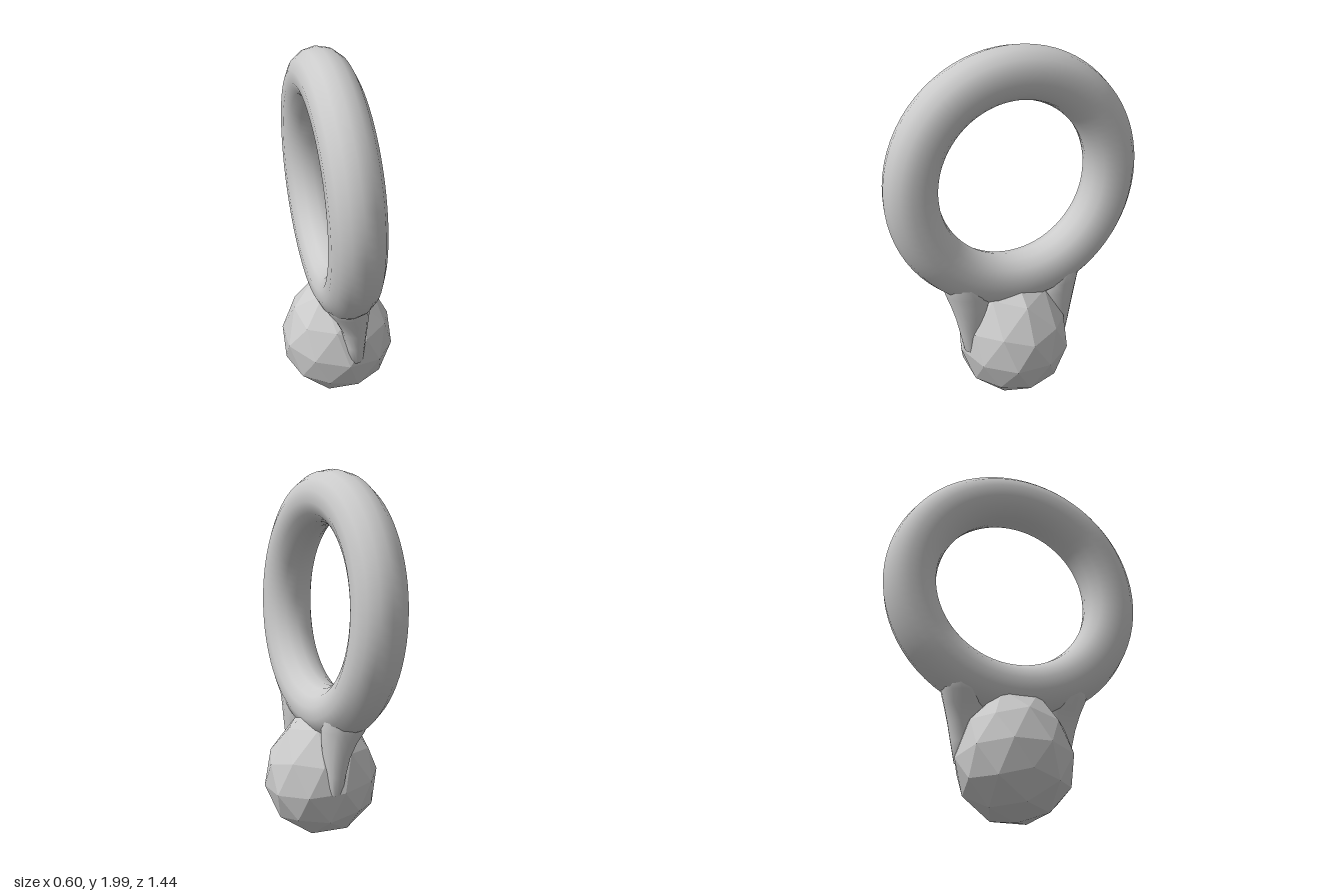
import * as THREE from 'three';
import { mergeVertices } from 'three/addons/utils/BufferGeometryUtils.js';

const grey = new THREE.MeshStandardMaterial({ color: 0xcccccc });
const faceted = new THREE.MeshStandardMaterial({ color: 0xcccccc, flatShading: true });

function add(group, name, geometry, material) {
  const mesh = new THREE.Mesh(geometry, material);
  mesh.name = name;
  group.add(mesh);
  return mesh;
}

// Faceted ball turned so that one corner facet faces +x, with its top drawn up a little
function gemGeometry(radius) {
  const ico = new THREE.IcosahedronGeometry(radius, 0).getAttribute('position');
  const [a, b, c] = [0, 1, 2].map((i) => new THREE.Vector3().fromBufferAttribute(ico, i));
  const m1 = a.clone().add(b).setLength(radius);
  const m2 = a.clone().add(c).setLength(radius);
  const y = a.clone().sub(m1.clone().add(m2).multiplyScalar(0.5)).normalize();
  const z = m1.clone().sub(m2).normalize();
  const x = y.clone().cross(z);
  if (x.dot(a) < 0) { x.negate(); z.negate(); }
  const geometry = new THREE.IcosahedronGeometry(radius, 1);
  geometry.applyMatrix4(new THREE.Matrix4().makeBasis(x, y, z).transpose());
  const p = geometry.getAttribute('position');
  for (let i = 0; i < p.count; i++) {
    const h = p.getY(i);
    if (h > 0) p.setY(i, h + 3.2 * h ** 3);
  }
  geometry.computeVertexNormals();
  return geometry;
}

// Loft through oval sections [y, x centre, z centre, x half-width, z half-width], top to bottom
function loft(sections, sides = 16) {
  const points = [], index = [];
  for (const [y, cx, cz, rx, rz] of sections) {
    for (let i = 0; i < sides; i++) {
      const t = (i / sides) * Math.PI * 2;
      points.push(cx + rx * Math.cos(t), y, cz + rz * Math.sin(t));
    }
  }
  for (let s = 0; s < sections.length - 1; s++) {
    for (let i = 0; i < sides; i++) {
      const j = (i + 1) % sides, u = s * sides, v = u + sides;
      index.push(u + i, u + j, v + i, u + j, v + j, v + i);
    }
  }
  const last = (sections.length - 1) * sides;
  for (let i = 1; i < sides - 1; i++) index.push(last, last + i, last + i + 1);
  const geometry = new THREE.BufferGeometry();
  geometry.setAttribute('position', new THREE.Float32BufferAttribute(points, 3));
  geometry.setIndex(index);
  geometry.computeVertexNormals();
  return geometry;
}

export function createModel() {
  const model = new THREE.Group();
  model.name = 'ring';

  // Band, leaning slightly to one side
  const torus = new THREE.TorusGeometry(0.575, 0.143, 14, 72);
  torus.deleteAttribute('uv');
  torus.rotateY(Math.PI / 2).rotateZ(0.03);
  add(model, 'band', mergeVertices(torus), grey).position.set(-0.033, 1.283, 0);

  // Gem
  add(model, 'gem', gemGeometry(0.316), faceted).position.set(0, 0.32, 0.022);

  // Claws tapering from the band down the front and back of the gem
  const claw = [
    [0.82, -0.02, 0.33, 0.12, 0.1],
    [0.74, -0.015, 0.31, 0.127, 0.12],
    [0.68, -0.005, 0.29, 0.115, 0.125],
    [0.62, 0.015, 0.285, 0.092, 0.11],
    [0.54, 0.03, 0.285, 0.07, 0.088],
    [0.44, 0.037, 0.29, 0.053, 0.062],
    [0.335, 0.04, 0.292, 0.04, 0.038],
  ];
  add(model, 'frontClaw', loft(claw), grey);
  const back = claw.map(([y, cx, cz, rx, rz]) => [y - 0.025, cx, 0.045 - cz, rx, rz]);
  add(model, 'backClaw', loft(back), grey);

  return model;
}
